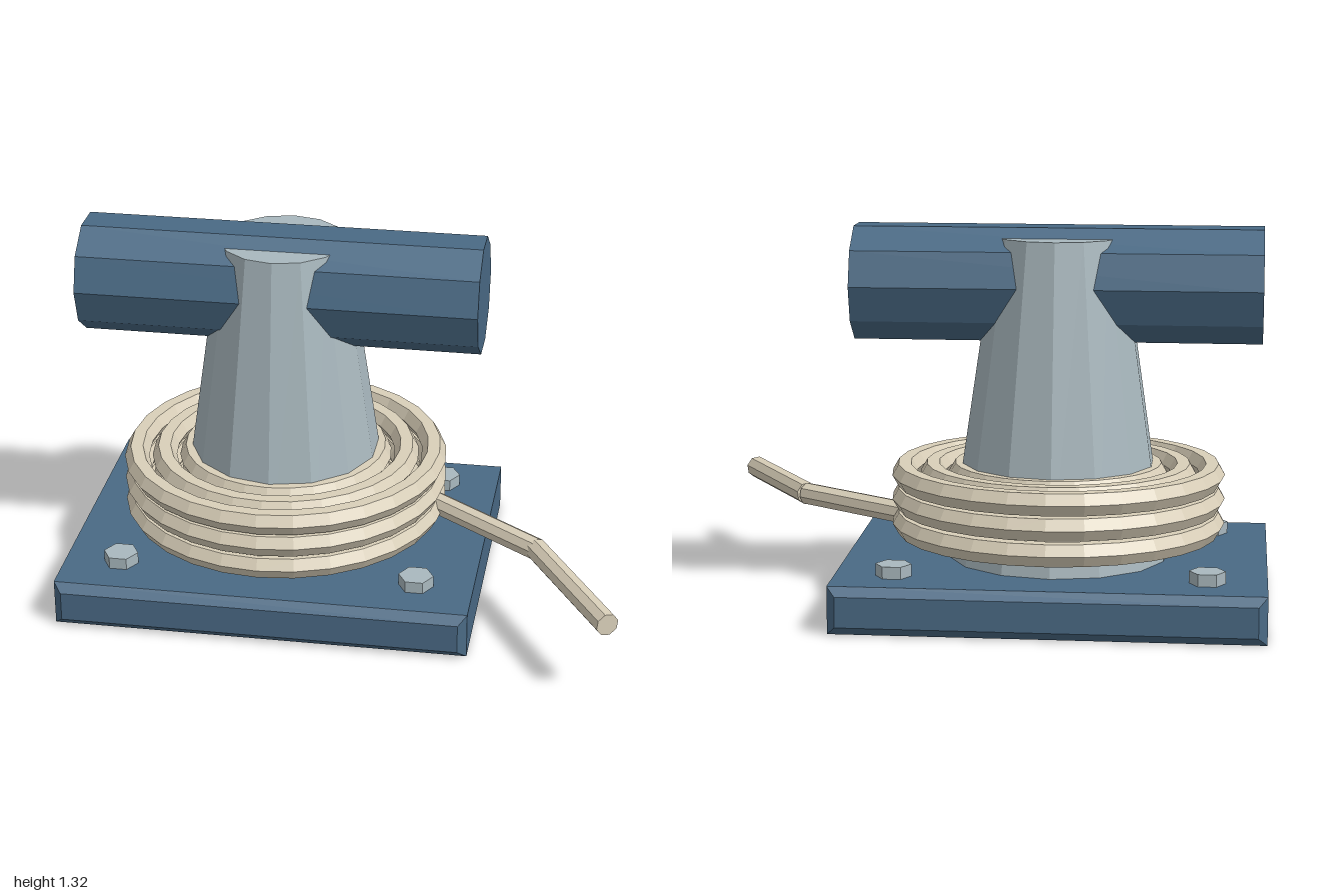
import * as THREE from 'three';

const mat = (color) => new THREE.MeshStandardMaterial({ color, flatShading: true });

export function createModel() {
  const model = new THREE.Group();
  const blue = mat(0x4a6a85), steel = mat(0xa9b8be), rope = mat(0xd9cfb9);
  const cx = -0.265, cz = -0.105; // axis of the post

  const add = (name, geometry, material, x = 0, y = 0, z = 0, parent = model) => {
    const mesh = new THREE.Mesh(geometry, material);
    mesh.name = name;
    mesh.position.set(x, y, z);
    parent.add(mesh);
    return mesh;
  };
  const group = (name) => {
    const g = new THREE.Group();
    g.name = name;
    model.add(g);
    return g;
  };

  // Base plate, bevelled toward its front and back faces
  const bevel = 0.03, halfW = 0.735 - bevel, halfH = 0.0825 - bevel, depth = 1.175;
  const plate = new THREE.Shape([
    new THREE.Vector2(-halfW, -halfH), new THREE.Vector2(halfW, -halfH),
    new THREE.Vector2(halfW, halfH), new THREE.Vector2(-halfW, halfH),
  ]);
  const plateGeometry = new THREE.ExtrudeGeometry(plate, {
    depth: depth - 2 * bevel, bevelEnabled: true,
    bevelSize: bevel, bevelThickness: bevel, bevelSegments: 1,
  });
  plateGeometry.center();
  add('basePlate', plateGeometry, blue, cx, 0.0825, -0.1025);

  // Hexagonal bolts at the four corners
  const bolts = group('bolts');
  for (const sx of [-1, 1]) for (const sz of [-1, 1]) {
    const bolt = add('bolt', new THREE.CylinderGeometry(0.062, 0.062, 0.05, 6), steel,
      cx + sx * 0.532, 0.182, cz + sz * 0.385, bolts);
    bolt.rotation.y = Math.PI / 6;
  }

  // Tapered post
  add('post', new THREE.CylinderGeometry(0.222, 0.386, 1.125, 14), steel, cx, 0.7275, cz);

  // Horizontal crossbar through the top of the post
  const bar = add('crossbar', new THREE.CylinderGeometry(0.207, 0.207, 1.415, 10), blue,
    -0.263, 1.127, -0.1);
  bar.rotation.z = Math.PI / 2;

  // Rope coils: three layers of three concentric turns
  const coils = group('ropeCoils');
  for (const y of [0.288, 0.375, 0.46]) for (const radius of [0.54, 0.44, 0.34]) {
    const turn = add('ropeTurn', new THREE.TorusGeometry(radius, 0.044, 6, 28), rope, cx, y, cz, coils);
    turn.rotation.x = -Math.PI / 2;
  }

  // Loose rope end leaving the lowest layer
  const tail = group('ropeTail');
  const path = [[0.275, -0.105], [0.68, 0.19], [0.96, 0.66]]
    .map(([x, z]) => new THREE.Vector3(x, 0.298, z));
  for (let i = 0; i < path.length - 1; i++) {
    const direction = path[i + 1].clone().sub(path[i]);
    const mid = path[i].clone().add(path[i + 1]).multiplyScalar(0.5);
    const piece = add('ropeTailPiece', new THREE.CylinderGeometry(0.041, 0.041, direction.length(), 8),
      rope, mid.x, mid.y, mid.z, tail);
    piece.quaternion.setFromUnitVectors(new THREE.Vector3(0, 1, 0), direction.normalize());
  }

  return model;
}
